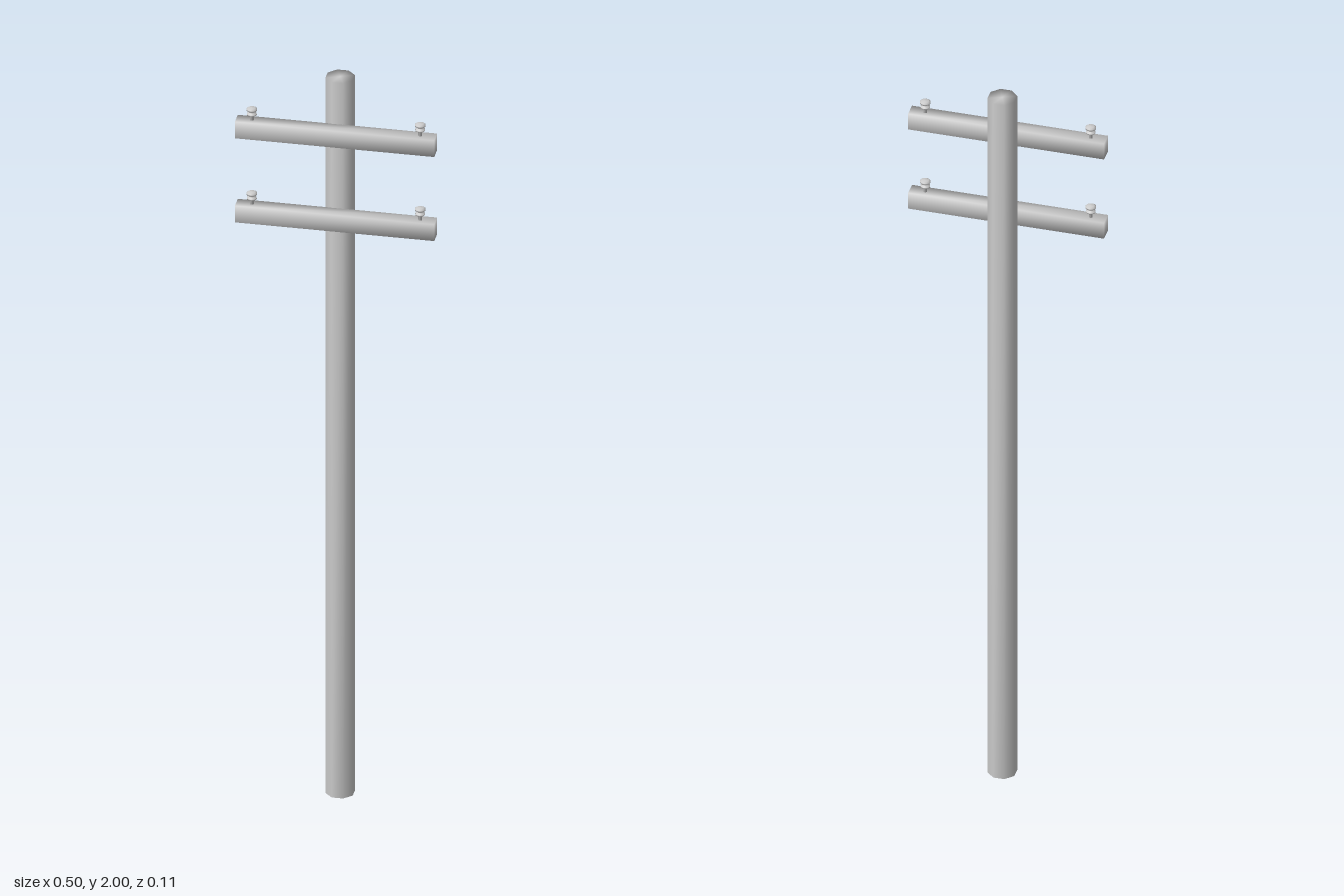
import * as THREE from 'three';
import { mergeVertices } from 'three/addons/utils/BufferGeometryUtils.js';

const material = new THREE.MeshStandardMaterial({ color: 0xcccccc });

// Weld all corners so shading runs softly across the edges
function soften(geometry) {
  geometry.deleteAttribute('normal');
  geometry.deleteAttribute('uv');
  const welded = mergeVertices(geometry, 1e-5);
  welded.computeVertexNormals();
  return welded;
}

function addPart(parent, name, geometry, x, y, z) {
  const mesh = new THREE.Mesh(geometry, material);
  mesh.name = name;
  mesh.position.set(x, y, z);
  parent.add(mesh);
  return mesh;
}

export function createModel() {
  const model = new THREE.Group();
  model.name = 'utilityPole';

  // Octagonal pole with flat sides facing the axes
  const poleGeometry = new THREE.CylinderGeometry(0.0373, 0.0373, 2, 8);
  poleGeometry.rotateY(Math.PI / 8);
  addPart(model, 'pole', soften(poleGeometry), 0, 1, -0.0195);

  // Insulator: thin pin carrying two flared discs
  const profile = [
    [0, -0.004], [0.005, -0.004], [0.005, 0.012], [0.0125, 0.015], [0.0125, 0.018],
    [0.007, 0.021], [0.007, 0.024], [0.0135, 0.027], [0.0135, 0.031], [0.009, 0.034], [0, 0.035],
  ].map(([r, y]) => new THREE.Vector2(r, y));
  const insulatorGeometry = new THREE.LatheGeometry(profile, 12);

  // Two crossarms fixed to the front of the pole
  const armGeometry = soften(new THREE.BoxGeometry(0.502, 0.046, 0.038));
  for (const [name, y] of [['upperCrossarm', 1.861], ['lowerCrossarm', 1.626]]) {
    const arm = new THREE.Group();
    arm.name = name;
    arm.position.set(0, y, 0.033);
    model.add(arm);
    addPart(arm, 'beam', armGeometry, 0, 0, 0);
    for (const side of [-1, 1]) {
      addPart(arm, side > 0 ? 'leftInsulator' : 'rightInsulator', insulatorGeometry, side * 0.212, 0.023, 0);
    }
  }
  return model;
}
